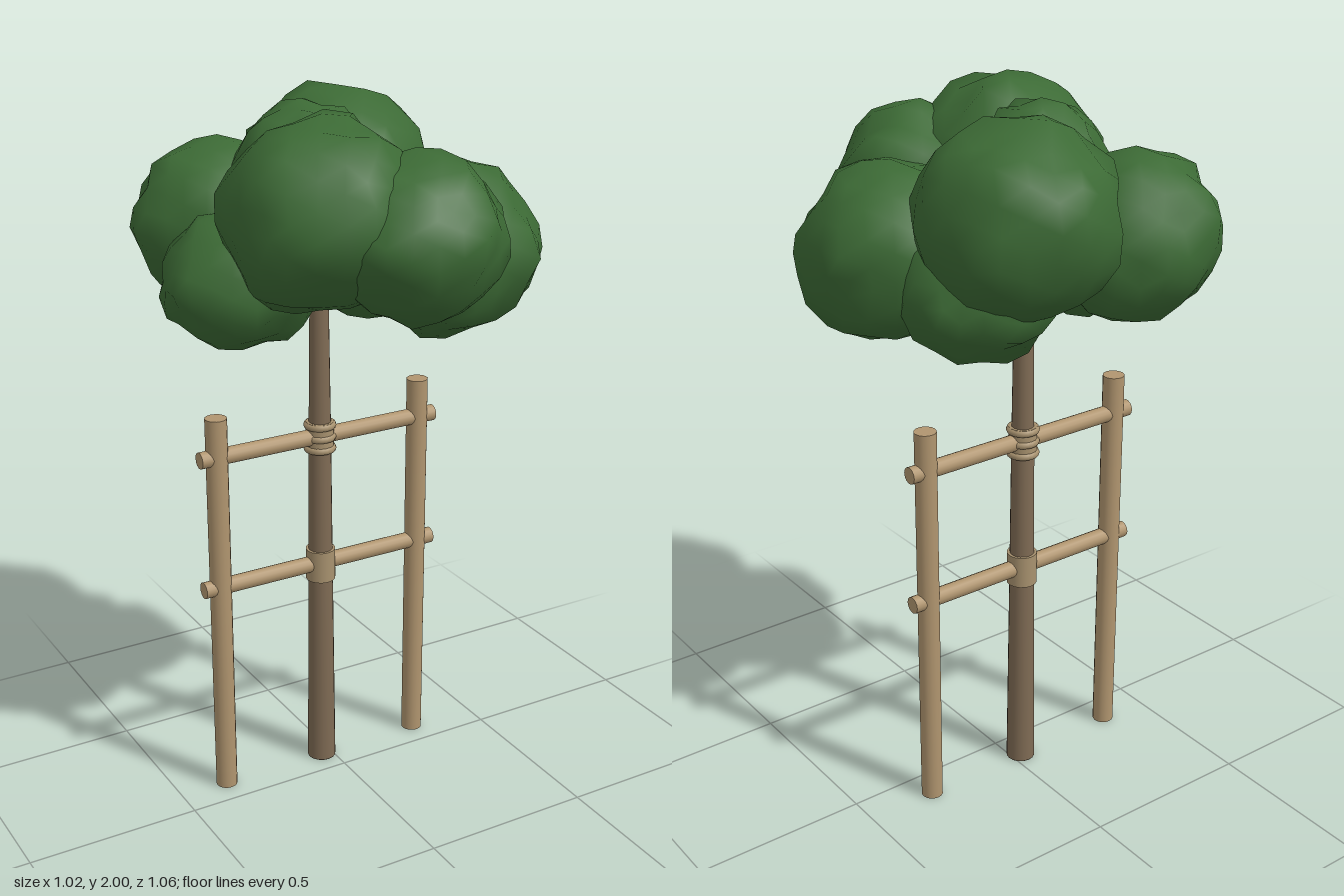
import * as THREE from 'three';
import { mergeVertices } from 'three/addons/utils/BufferGeometryUtils.js';

const TX = -0.031, TZ = -0.085; // trunk axis

function makeRandom(seed) {
  let s = seed;
  return () => (s = (s * 16807) % 2147483647) / 2147483647;
}

// Lumpy, smooth-shaded ellipsoid of leaves with an angular outline
function leafClump(rx, ry, rz, seed) {
  let geo = new THREE.IcosahedronGeometry(1, 3);
  geo.deleteAttribute('normal');
  geo.deleteAttribute('uv');
  geo = mergeVertices(geo, 1e-4);
  const rand = makeRandom(seed * 7919 + 13);
  for (let i = 0; i < 10; i++) rand();
  const waves = Array.from({ length: 5 }, () => ({
    dir: new THREE.Vector3(rand() - 0.5, rand() - 0.5, rand() - 0.5).normalize(),
    freq: 6 + rand() * 6, phase: rand() * 6.28,
  }));
  const p = geo.attributes.position, v = new THREE.Vector3();
  for (let i = 0; i < p.count; i++) {
    v.fromBufferAttribute(p, i);
    let r = 0.995 + (rand() - 0.5) * 0.1;
    for (const w of waves) r += 0.02 * Math.sin(v.dot(w.dir) * w.freq + w.phase);
    p.setXYZ(i, v.x * r * rx, v.y * r * ry, v.z * r * rz);
  }
  geo.computeVertexNormals();
  return geo;
}

export function createModel() {
  const model = new THREE.Group();
  model.name = 'stakedTree';
  const bark = new THREE.MeshStandardMaterial({ color: 0x7f6b54 });
  const wood = new THREE.MeshStandardMaterial({ color: 0xb0956f });
  const wrap = new THREE.MeshStandardMaterial({ color: 0xa8926f });
  const leaf = new THREE.MeshStandardMaterial({ color: 0x3c6a35 });

  const add = (name, geo, mat, x, y, z, parent = model) => {
    const mesh = new THREE.Mesh(geo, mat);
    mesh.name = name;
    mesh.position.set(x, y, z);
    parent.add(mesh);
  };

  // Tapering trunk, running up inside the crown
  const profile = [[0, 0], [0.042, 0], [0.042, 0.001], [0.036, 0.6], [0.032, 1.05],
    [0.027, 1.42], [0.004, 1.97], [0, 1.97]].map(([r, y]) => new THREE.Vector2(r, y));
  add('trunk', new THREE.LatheGeometry(profile, 16), bark, TX, 0, TZ);

  // Two upright stakes
  const stakeGeo = new THREE.CylinderGeometry(0.031, 0.031, 1.16, 16);
  for (const [name, x] of [['leftStake', 0.292], ['rightStake', -0.354]])
    add(name, stakeGeo, wood, x, 0.58, TZ);

  // Two horizontal rails
  const railGeo = new THREE.CylinderGeometry(0.024, 0.024, 0.752, 14).rotateZ(Math.PI / 2);
  for (const [name, y] of [['lowerRail', 0.65], ['upperRail', 1.045]])
    add(name, railGeo, wood, TX, y, TZ);

  // Padding sleeves and rope ties around the trunk
  add('lowerSleeve', new THREE.CylinderGeometry(0.043, 0.043, 0.095, 16), wrap, TX, 0.648, TZ);
  add('upperSleeve', new THREE.CylinderGeometry(0.04, 0.04, 0.09, 16), wrap, TX, 1.045, TZ);
  const ties = new THREE.Group();
  ties.name = 'ropeTies';
  model.add(ties);
  const ropeGeo = new THREE.TorusGeometry(0.036, 0.011, 8, 20).rotateX(Math.PI / 2);
  for (const y of [1.01, 1.045, 1.08]) add('ropeTie', ropeGeo, wrap, TX, y, TZ, ties);

  // Crown: centre and radii of each overlapping clump
  const crown = new THREE.Group();
  crown.name = 'crown';
  model.add(crown);
  const clumps = [
    ['backLeftClump', 0.11, 1.74, -0.235, 0.26, 0.25, 0.28],
    ['frontRightClump', -0.16, 1.745, 0.165, 0.265, 0.25, 0.26],
    ['leftClump', 0.26, 1.6, 0.1, 0.25, 0.235, 0.255],
    ['backRightClump', -0.23, 1.645, -0.285, 0.24, 0.22, 0.215],
    ['rightLowClump', -0.28, 1.555, -0.04, 0.225, 0.185, 0.2],
    ['frontClump', 0.025, 1.7, 0.305, 0.235, 0.21, 0.225],
    ['topClump', -0.07, 1.73, -0.1, 0.21, 0.26, 0.19],
    ['lowClump', 0.16, 1.56, -0.14, 0.22, 0.195, 0.22],
  ];
  clumps.forEach(([name, x, y, z, rx, ry, rz], i) =>
    add(name, leafClump(rx, ry, rz, i + 1), leaf, x, y, z, crown));

  return model;
}
